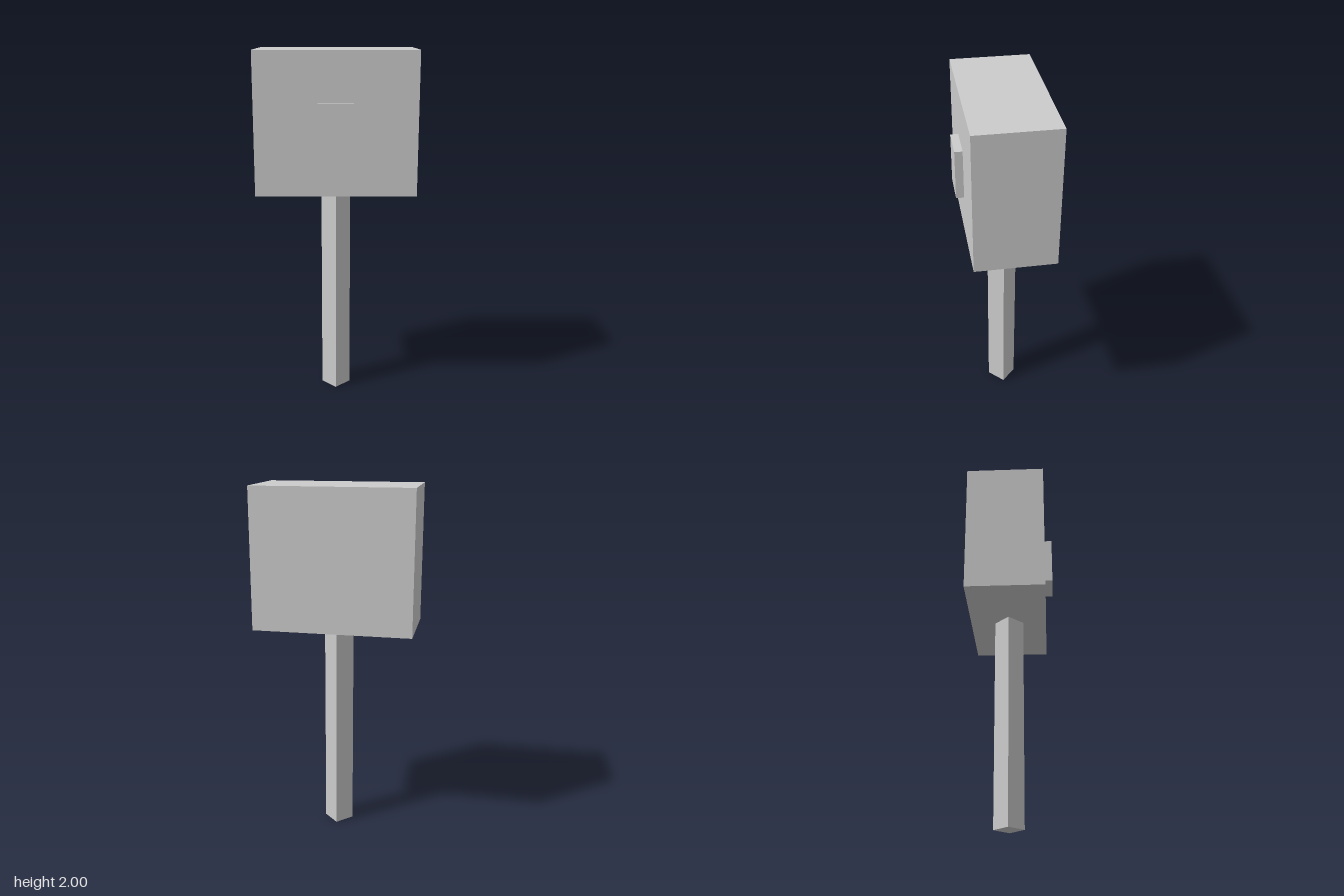
import * as THREE from 'three';

export function createModel() {
  const model = new THREE.Group();
  const grey = new THREE.MeshStandardMaterial({ color: 0xcccccc });
  grey.name = 'light grey';

  const add = (name, geometry, x, y, z) => {
    const mesh = new THREE.Mesh(geometry, grey);
    mesh.name = name;
    mesh.position.set(x, y, z);
    model.add(mesh);
  };

  // Large box on top of the post
  add('boxBody', new THREE.BoxGeometry(0.884, 0.78, 0.443), 0, 1.61, -0.0215);

  // Small raised plate on the front face
  add('frontPlate', new THREE.BoxGeometry(0.192, 0.277, 0.043), -0.002, 1.589, 0.2215);

  // Square post turned 45 degrees, its edges facing front, back and sides
  const post = new THREE.CylinderGeometry(0.083, 0.083, 1.22, 4).toNonIndexed();
  post.computeVertexNormals();
  add('post', post, -0.002, 0.61, -0.018);

  return model;
}
